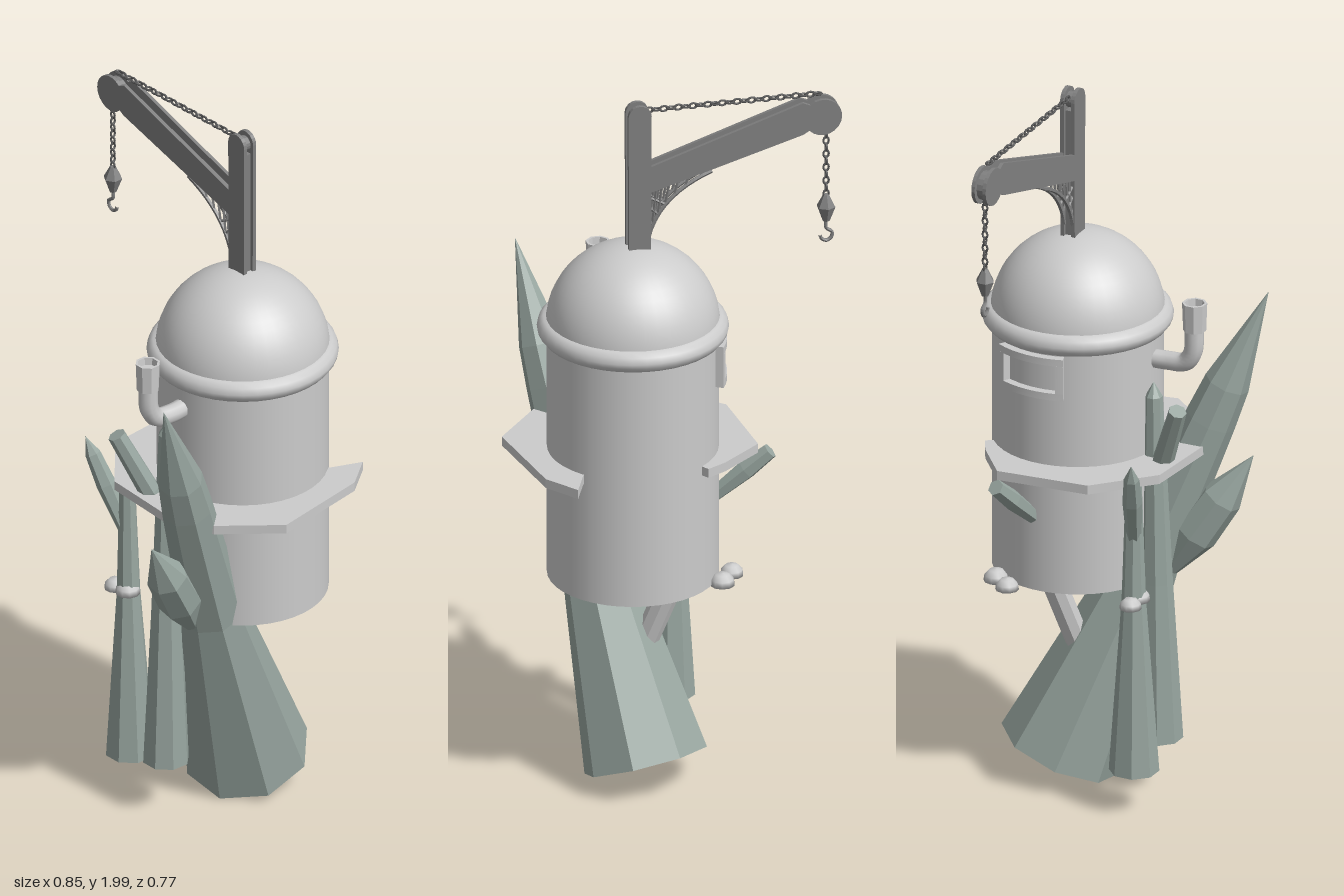
import * as THREE from 'three';

const V = (x, y, z) => new THREE.Vector3(x, y, z);
const grey = new THREE.MeshStandardMaterial({ color: 0xcccccc });
const greyFlat = new THREE.MeshStandardMaterial({ color: 0xcccccc, flatShading: true });
const stone = new THREE.MeshStandardMaterial({ color: 0x98a6a0, flatShading: true });
const iron = new THREE.MeshStandardMaterial({ color: 0x808080, flatShading: true });
const chainIron = new THREE.MeshStandardMaterial({ color: 0x5c5c5c });

function add(parent, name, geometry, material, x = 0, y = 0, z = 0) {
  const mesh = new THREE.Mesh(geometry, material);
  mesh.name = name;
  mesh.position.set(x, y, z);
  parent.add(mesh);
  return mesh;
}

// Faceted shaft between two points; profile is [radius, fraction of length]
function shaft(parent, name, from, to, profile, sides = 8, material = stone) {
  const axis = to.clone().sub(from);
  const length = axis.length();
  const pts = [[0, 0], ...profile, [0, 1]].map(([r, t]) => new THREE.Vector2(r, t * length));
  const mesh = add(parent, name, new THREE.LatheGeometry(pts, sides), material, from.x, from.y, from.z);
  mesh.quaternion.setFromUnitVectors(V(0, 1, 0), axis.normalize());
  return mesh;
}

// Flat plate in the x-y plane, centred on z
function plate(points, depth) {
  const shape = new THREE.Shape(points.map(([x, y]) => new THREE.Vector2(x, y)));
  const geo = new THREE.ExtrudeGeometry(shape, { depth, bevelEnabled: false });
  return geo.translate(0, 0, -depth / 2);
}

// Points on an arc for rounded plate ends
function arc(cx, cy, r, a0, a1, n = 10) {
  return Array.from({ length: n + 1 }, (_, i) => {
    const a = a0 + (a1 - a0) * i / n;
    return [cx + r * Math.cos(a), cy + r * Math.sin(a)];
  });
}

function chain(parent, name, from, to, count) {
  const group = new THREE.Group();
  group.name = name;
  const dir = to.clone().sub(from);
  const step = dir.length() / count;
  for (let i = 0; i < count; i++) {
    const geo = new THREE.TorusGeometry(0.0075, 0.003, 5, 10).scale(1, step * 0.062 / 0.001 / 62 / 0.0145, 1);
    geo.rotateY(i % 2 ? Math.PI / 2 : 0);
    const p = from.clone().addScaledVector(dir, (i + 0.5) / count);
    const link = add(group, 'chainLink', geo, chainIron, p.x, p.y, p.z);
    link.quaternion.setFromUnitVectors(V(0, 1, 0), dir.clone().normalize());
  }
  parent.add(group);
}

function buildTank() {
  const tank = new THREE.Group();
  tank.name = 'tank';
  tank.position.set(0.105, 0, -0.13);
  add(tank, 'tankBody', new THREE.CylinderGeometry(0.23, 0.23, 0.72, 40), grey, 0, 0.98, 0);
  const rim = [[0.22, 1.315], [0.243, 1.318], [0.254, 1.332], [0.257, 1.345], [0.252, 1.362], [0.24, 1.373], [0.225, 1.376]];
  add(tank, 'tankRim', new THREE.LatheGeometry(rim.map(p => new THREE.Vector2(...p)), 40), grey);
  add(tank, 'tankDome', new THREE.SphereGeometry(0.234, 40, 14, 0, Math.PI * 2, 0, Math.PI / 2), grey, 0, 1.348, 0);

  // Window frame bars, bent around the tank wall
  const frame = new THREE.Group();
  frame.name = 'windowFrame';
  frame.position.y = 1.25;
  frame.rotation.y = Math.atan2(-0.884, -0.46);
  for (const [x, y, w, h] of [[0, 0.05, 0.2, 0.02], [0, -0.05, 0.2, 0.02], [-0.09, 0, 0.02, 0.08], [0.09, 0, 0.02, 0.08]]) {
    const bar = new THREE.BoxGeometry(w, h, 0.04, 8, 1, 1).translate(x, y, 0);
    const p = bar.attributes.position;
    for (let i = 0; i < p.count; i++) {
      const a = p.getX(i) / 0.24, r = 0.232 + p.getZ(i);
      p.setXYZ(i, Math.sin(a) * r, p.getY(i), Math.cos(a) * r);
    }
    bar.computeVertexNormals();
    add(frame, 'frameBar', bar, grey);
  }
  tank.add(frame);
  return tank;
}

function buildCrane() {
  const crane = new THREE.Group();
  crane.name = 'crane';
  crane.position.set(0.097, 0, -0.143);
  crane.rotation.y = 2.77;
  // Post and jib: twin side plates around a recessed core
  const post = [[-0.03, 1.5], [0.03, 1.5], ...arc(0, 1.968, 0.032, 0, Math.PI)];
  const jib = [[0.02, 1.74], [0.45, 1.865], ...arc(0.505, 1.91, 0.052, -2.4, 2.3, 16), [0.45, 1.958], [0.02, 1.815]];
  for (const side of [-1, 1]) {
    add(crane, 'postPlate', plate(post, 0.011), iron, 0, 0, side * 0.016);
    add(crane, 'jibPlate', plate(jib, 0.01), iron, 0, 0, side * 0.0165);
  }
  add(crane, 'postCore', new THREE.BoxGeometry(0.045, 0.44, 0.024), iron, 0, 1.72, 0);
  add(crane, 'jibCore', plate([[0.02, 1.745], [0.45, 1.87], [0.45, 1.93], [0.02, 1.79]], 0.024), iron);
  for (const [name, s, y, r] of [['jibPulley', 0.505, 1.91, 0.04], ['postPulley', 0, 1.965, 0.022]]) {
    add(crane, name, new THREE.CylinderGeometry(r, r, 0.03, 16).rotateX(Math.PI / 2), iron, s, y, 0);
  }

  // Curved brace with lattice struts
  const curve = new THREE.QuadraticBezierCurve3(V(0.025, 1.61, 0), V(0.055, 1.73, 0), V(0.2, 1.785, 0));
  for (const z of [-0.013, 0.013]) {
    add(crane, 'brace', new THREE.TubeGeometry(curve, 10, 0.006, 5), iron, 0, 0, z);
    for (let i = 1; i < 6; i++) {
      const a = curve.getPoint(i / 7).setZ(z);
      const onPost = V(0.025, a.y + 0.025, z), onJib = V(a.x + 0.012, 1.75 + a.x * 0.29, z);
      if (i < 4) shaft(crane, 'braceStrut', a, onPost, [[0.004, 0], [0.004, 1]], 4, iron);
      shaft(crane, 'braceStrut', a, onJib, [[0.004, 0], [0.004, 1]], 4, iron);
    }
  }

  // Chains, block and hook
  chain(crane, 'topChain', V(0.02, 1.978, 0), V(0.505, 1.972, 0), 24);
  chain(crane, 'hangingChain', V(0.518, 1.88, 0), V(0.518, 1.665, 0), 11);
  shaft(crane, 'hookBlock', V(0.518, 1.595, 0), V(0.518, 1.672, 0), [[0.01, 0], [0.026, 0.55], [0.008, 1]], 6, iron);
  const hook = new THREE.CatmullRomCurve3([V(0, 0.065, 0), V(0, 0.037, 0), V(0.016, 0.024, 0),
    V(0.014, 0.008, 0), V(0, 0, 0), V(-0.014, 0.008, 0), V(-0.016, 0.018, 0)]);
  add(crane, 'hook', new THREE.TubeGeometry(hook, 20, 0.005, 6), iron, 0.518, 1.537, 0);
  return crane;
}

function buildStones(root) {
  const stones = new THREE.Group();
  stones.name = 'stoneTrunks';
  root.add(stones);
  // Leaning main trunk and its side spike
  shaft(stones, 'mainTrunk', V(0.095, 0.075, -0.175), V(0.127, 1.415, 0.38),
    [[0.172, 0], [0.088, 0.42], [0.07, 0.72], [0.062, 0.8]], 8);
  shaft(stones, 'mainSpike', V(0.08, 0.62, 0.12), V(0.073, 0.96, 0.345),
    [[0.025, 0], [0.06, 0.3], [0.056, 0.62]], 7);
  // Middle trunk with a blunt branch
  shaft(stones, 'middleTrunk', V(-0.008, 0.165, 0.1), V(-0.012, 1.2, 0.085),
    [[0.064, 0], [0.043, 0.44], [0.032, 0.75], [0.024, 0.96]], 8);
  shaft(stones, 'middleBranch', V(-0.01, 0.9, 0.09), V(-0.125, 1.165, 0.16), [[0.018, 0], [0.03, 0.35], [0.025, 1]], 7);
  // Outer trunk with a pointed branch
  shaft(stones, 'outerTrunk', V(-0.143, 0.125, 0.045), V(-0.152, 0.98, 0.045), [[0.068, 0], [0.033, 0.58], [0.021, 1]], 8);
  shaft(stones, 'outerBranch', V(-0.152, 0.8, 0.045), V(-0.275, 1.065, 0.05), [[0.02, 0], [0.027, 0.5], [0.021, 0.82]], 6);
  // Short stub below the platform
  shaft(stones, 'rearStub', V(-0.08, 0.82, -0.225), V(-0.21, 0.96, -0.32), [[0.02, 0], [0.028, 0.6], [0.023, 1]], 6);
}

export function createModel() {
  const root = new THREE.Group();
  root.name = 'craneTank';
  root.add(buildTank(), buildCrane());
  buildStones(root);

  // Platform wrapping the front and sides
  const deck = plate([[-0.17, -0.32], [-0.245, -0.07], [-0.155, 0.115], [0.05, 0.212], [0.19, 0.207], [0.36, 0.115],
    [0.42, -0.17], [0.39, -0.277], [0.33, -0.215], [0.2, -0.1], [0.08, -0.15], [0.03, -0.372], [-0.03, -0.365]], 0.026);
  add(root, 'platform', deck.rotateX(Math.PI / 2), greyFlat, 0, 0.978, 0);

  // Bent exhaust pipe with a wider mouth
  const bend = new THREE.CatmullRomCurve3([V(0.035, 1.25, 0.07), V(0.018, 1.25, 0.125), V(-0.002, 1.257, 0.168),
    V(-0.012, 1.29, 0.19), V(-0.014, 1.37, 0.194)]);
  add(root, 'exhaustPipe', new THREE.TubeGeometry(bend, 18, 0.026, 10), grey);
  const mouth = [[0, 0], [0.031, 0], [0.034, 0.08], [0.027, 0.08], [0.025, 0.06], [0, 0.06]].map(p => new THREE.Vector2(...p));
  add(root, 'exhaustMouth', new THREE.LatheGeometry(mouth, 8), greyFlat, -0.014, 1.355, 0.195);

  // Slanted support under the tank
  shaft(root, 'supportStrut', V(0.095, 0.24, -0.07), V(0, 0.64, -0.2), [[0.034, 0], [0.034, 1]], 8, greyFlat);

  // Small caps on the outer trunk and the tank's lower edge
  const caps = [[-0.145, 0.62, 0.055, 0.034], [-0.19, 0.615, 0.04, 0.03], [-0.042, 0.617, -0.335, 0.034], [-0.098, 0.617, -0.3, 0.032]];
  for (const [x, y, z, r] of caps) {
    const cap = [[0, 0], [r, 0], [r * 0.92, r * 0.5], [r * 0.55, r * 0.9], [0, r]].map(p => new THREE.Vector2(...p));
    add(root, 'cap', new THREE.LatheGeometry(cap, 10), grey, x, y, z);
  }
  return root;
}
